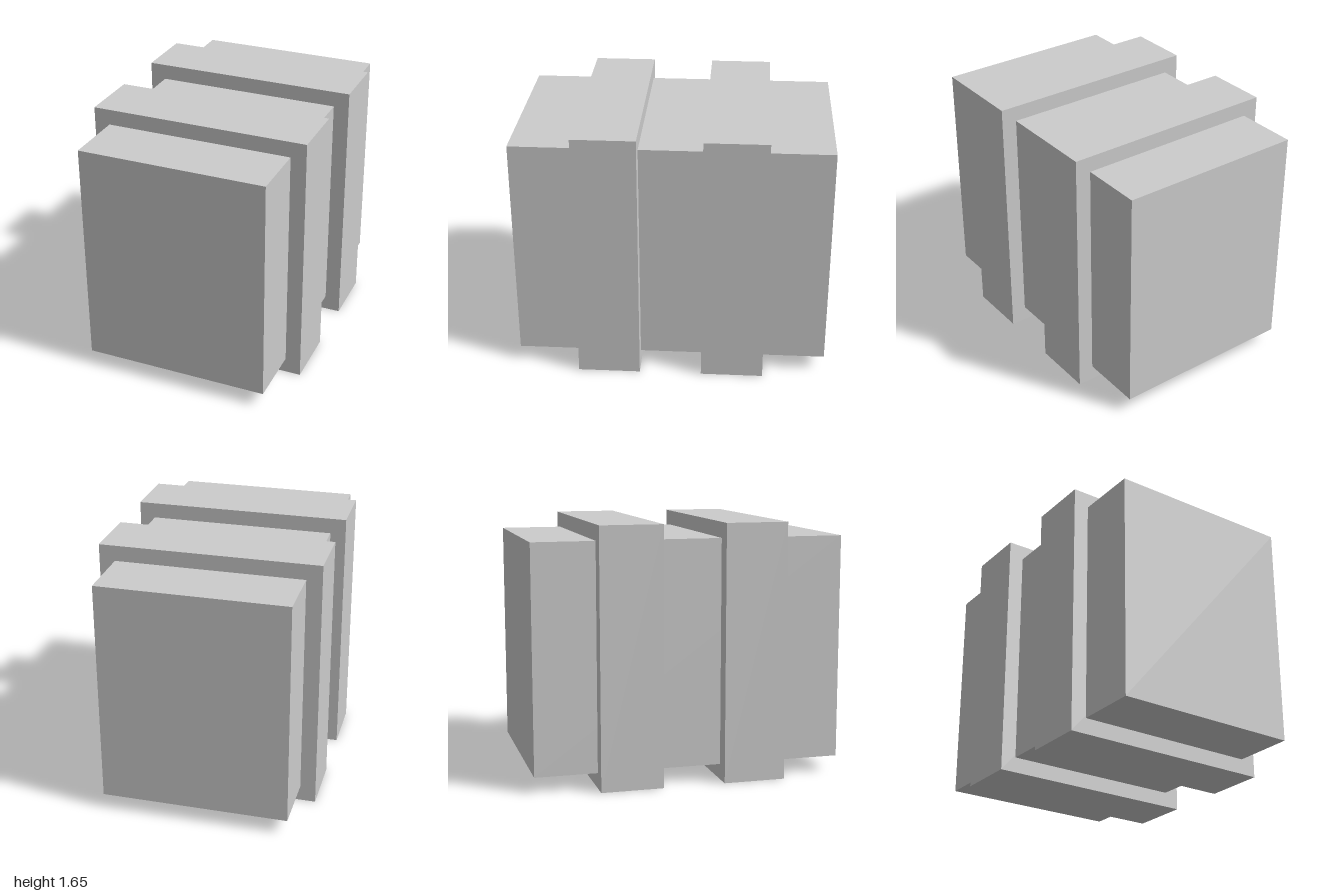
import * as THREE from 'three';

const CENTER_Y = 0.825;

export function createModel() {
  const model = new THREE.Group();
  const material = new THREE.MeshStandardMaterial({ color: 0xcccccc, flatShading: true });

  const addBox = (name, width, height, depth, z) => {
    const mesh = new THREE.Mesh(new THREE.BoxGeometry(width, height, depth), material);
    mesh.name = name;
    mesh.position.set(0, CENTER_Y, z);
    model.add(mesh);
  };

  // Long block running front to back
  addBox('core', 1.2, 1.45, 2, 0);

  // Two raised bands wrapped around the block
  addBox('frontBand', 1.4, 1.65, 0.4, 0.4);
  addBox('backBand', 1.4, 1.65, 0.4, -0.4);

  return model;
}
